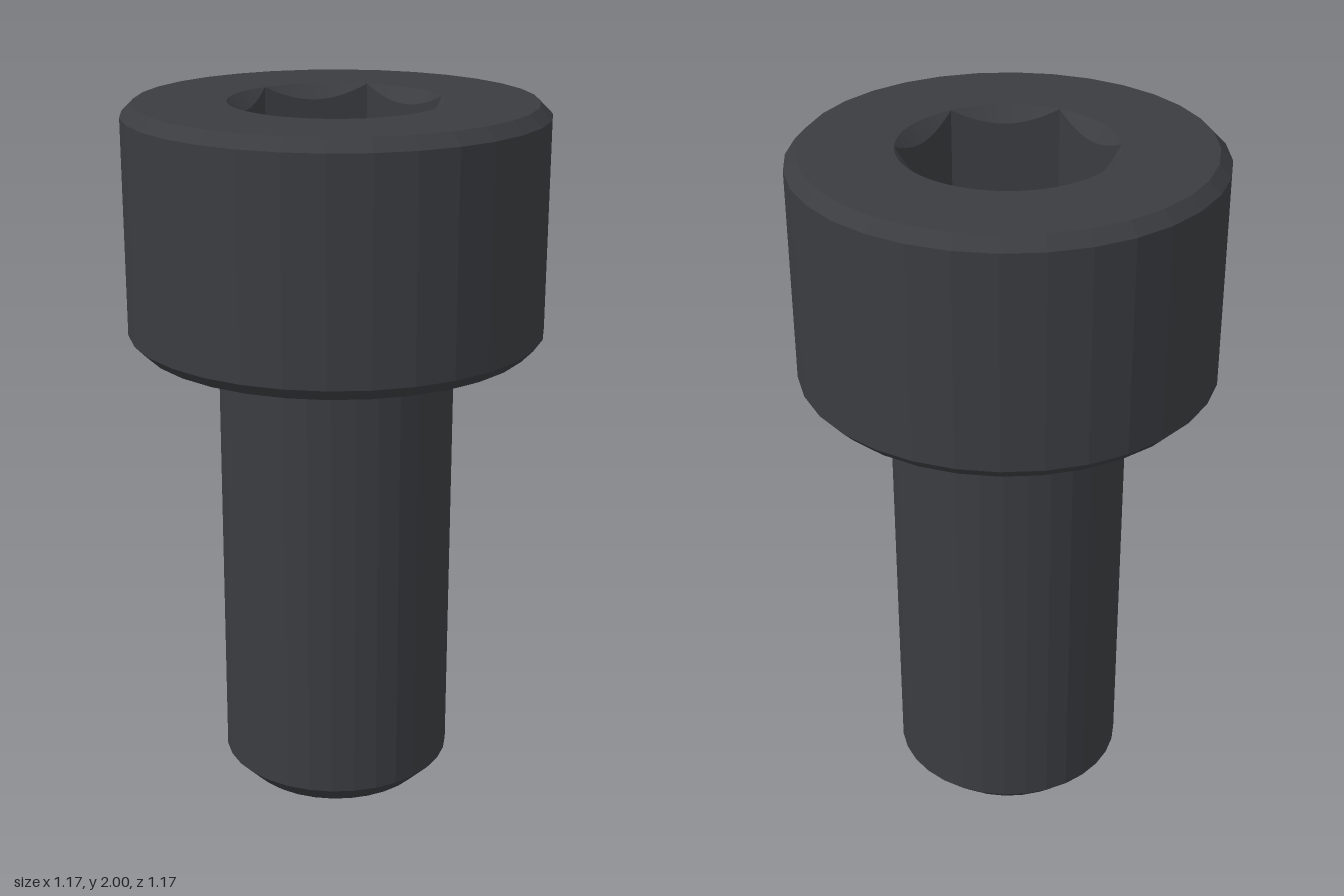
import * as THREE from 'three';

const SIDES = 32;
const TAU = Math.PI * 2;

const steel = new THREE.MeshStandardMaterial({ color: 0x3a3c40, flatShading: true });

function addFaceted(group, geometry, name) {
  const faceted = geometry.index ? geometry.toNonIndexed() : geometry;
  faceted.computeVertexNormals();
  const mesh = new THREE.Mesh(faceted, steel);
  mesh.name = name;
  group.add(mesh);
}

// Turned part from [radius, height] pairs, bottom to top
function turned(profile) {
  return new THREE.LatheGeometry(profile.map(([r, y]) => new THREE.Vector2(r, y)), SIDES);
}

// Radius of a regular polygon (corner on +x) at a given angle
function polygonRadius(cornerRadius, sides, angle) {
  const step = TAU / sides;
  return cornerRadius * Math.cos(step / 2) / Math.cos((angle % step) - step / 2);
}

// Skin between rings; each ring maps an angle to [radius, height]
function loftRings(rings, segments) {
  const positions = [];
  const index = [];
  for (const ring of rings) {
    for (let i = 0; i < segments; i++) {
      const angle = (i / segments) * TAU;
      const [r, y] = ring(angle);
      positions.push(r * Math.cos(angle), y, r * Math.sin(angle));
    }
  }
  for (let k = 0; k < rings.length - 1; k++) {
    for (let i = 0; i < segments; i++) {
      const j = (i + 1) % segments;
      const a = k * segments + i, b = k * segments + j;
      const c = a + segments, d = b + segments;
      index.push(a, c, b, b, c, d);
    }
  }
  const geometry = new THREE.BufferGeometry();
  geometry.setAttribute('position', new THREE.Float32BufferAttribute(positions, 3));
  geometry.setIndex(index);
  return geometry;
}

export function createModel() {
  const group = new THREE.Group();
  group.name = 'socketHeadScrew';

  // Shank with chamfered tip and a small fillet under the head
  const shank = [[0, 0], [0.272, 0], [0.333, 0.061]];
  const fillet = 0.033, underside = 1.333, filletSteps = 5;
  for (let i = 0; i <= filletSteps; i++) {
    const a = (i / filletSteps) * Math.PI / 2;
    shank.push([0.333 + fillet * (1 - Math.cos(a)), underside - fillet * (1 - Math.sin(a))]);
  }
  addFaceted(group, turned(shank), 'shank');

  // Head with chamfered rims
  addFaceted(group, turned([
    [0.333 + fillet, underside], [0.55, underside], [0.583, 1.367], [0.583, 1.967], [0.55, 2],
  ]), 'head');

  // Top face and countersunk hexagonal socket
  const hexCorner = 0.295, floorY = 1.667;
  const hex = (angle) => polygonRadius(hexCorner, 6, angle);
  const rim = (angle) => [polygonRadius(0.55, SIDES, angle), 2];
  const mouth = () => [hexCorner, 2];
  const scallop = (angle) => [hex(angle), 2 - (hexCorner - hex(angle))];
  const floorEdge = (angle) => [hex(angle), floorY];
  const floorCentre = () => [0, floorY];
  addFaceted(group, loftRings([rim, mouth], 96), 'topFace');
  addFaceted(group, loftRings([mouth, scallop, floorEdge, floorCentre], 96), 'hexSocket');

  return group;
}
